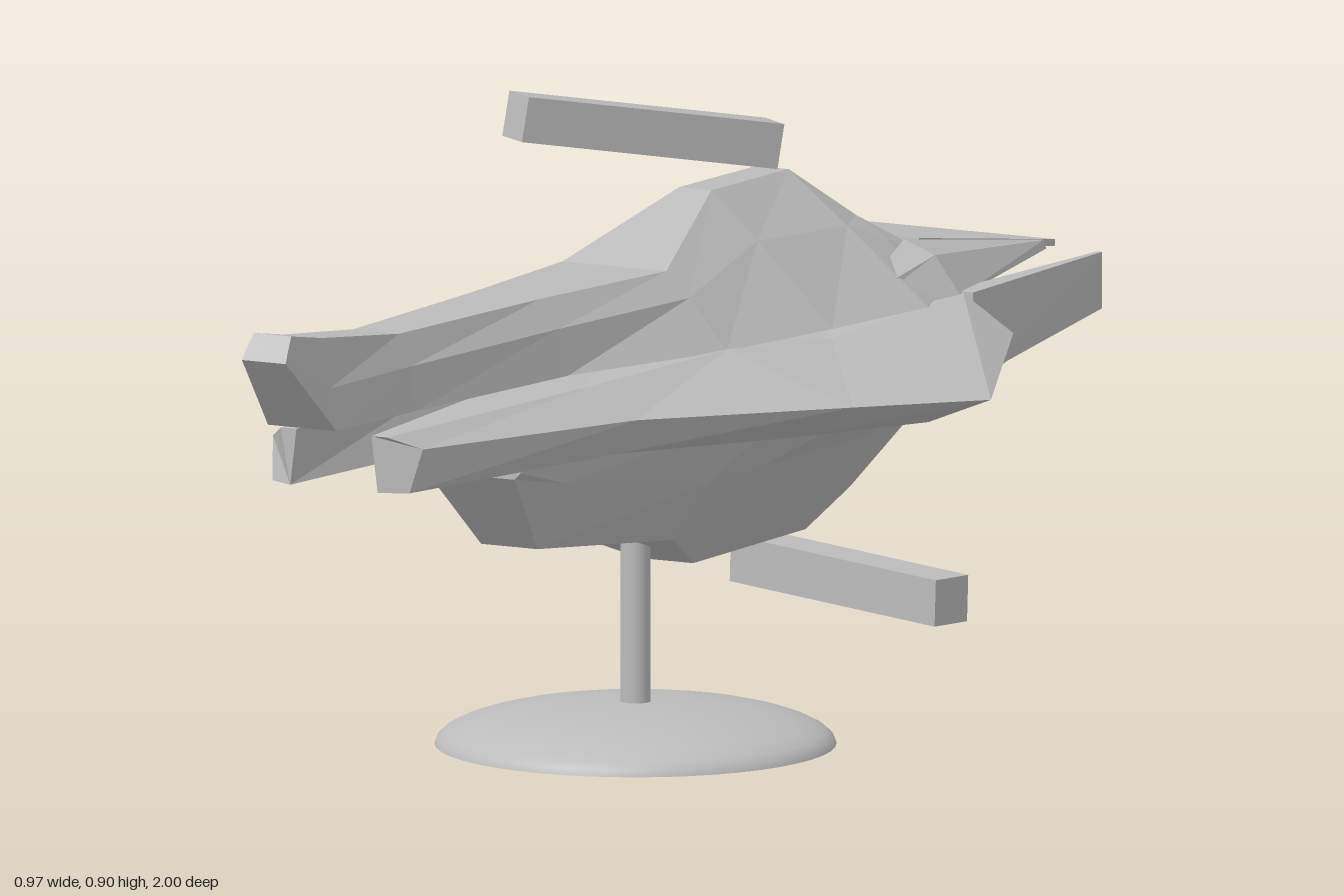
import * as THREE from 'three';

const grey = new THREE.MeshStandardMaterial({ color: 0xbcbcbc });
grey.name = 'plain grey';

// Faceted skin over matching rings, listed front to back, each clockwise seen from the front
function loft(rings, sx = 1, sy = 1, midY = 0) {
  const rows = rings.map(r => {
    const m = r.map(([x, y, z]) => new THREE.Vector3(x * sx, midY + (y - midY) * sy, z));
    return sx * sy < 0 ? m.reverse() : m;
  });
  const pts = [];
  const tri = (...p) => p.forEach(v => pts.push(v.x, v.y, v.z));
  const n = rows[0].length, last = rows[rows.length - 1];
  for (let i = 0; i < rows.length - 1; i++) {
    for (let j = 0; j < n; j++) {
      const k = (j + 1) % n;
      tri(rows[i][j], rows[i][k], rows[i + 1][j]);
      tri(rows[i][k], rows[i + 1][k], rows[i + 1][j]);
    }
  }
  for (let j = 1; j < n - 1; j++) {
    tri(rows[0][0], rows[0][j + 1], rows[0][j]);
    tri(last[0], last[j], last[j + 1]);
  }
  const g = new THREE.BufferGeometry();
  g.setAttribute('position', new THREE.Float32BufferAttribute(pts, 3));
  g.computeVertexNormals();
  return g;
}

// Full ring from its right half, listed top to bottom
function ring(z, ...half) {
  const right = half.map(([x, y, dz = 0]) => [x, y, z + dz]);
  return [...right, ...right.slice().reverse().map(([x, y, zz]) => [-x, y, zz])];
}

const at = (z, ...pts) => pts.map(([x, y, dz = 0]) => [x, y, z + dz]);

export function createModel() {
  const model = new THREE.Group();
  model.name = 'starship on stand';
  const add = (name, geometry) => {
    const mesh = new THREE.Mesh(geometry, grey);
    mesh.name = name;
    model.add(mesh);
    return mesh;
  };
  // Box running from point a to point b
  const beam = (name, a, b, w, h) => {
    const p = new THREE.Vector3(...a), q = new THREE.Vector3(...b);
    const mesh = add(name, new THREE.BoxGeometry(w, h, p.distanceTo(q)));
    mesh.position.copy(p).add(q).multiplyScalar(0.5);
    mesh.lookAt(q);
  };

  // Upper hull with the long nose
  add('upperHull', loft([
    ring(1, [0.03, 0.735, -0.025], [0.033, 0.715, -0.01], [0.035, 0.70]),
    ring(0.89, [0.03, 0.72], [0.045, 0.65], [0.055, 0.59]),
    ring(0.68, [0.037, 0.695], [0.055, 0.65], [0.065, 0.588]),
    ring(0.31, [0.055, 0.69], [0.085, 0.65], [0.10, 0.585]),
    ring(0, [0.083, 0.685], [0.12, 0.65], [0.18, 0.58]),
    ring(-0.23, [0.026, 0.76], [0.10, 0.695], [0.22, 0.58]),
    ring(-0.45, [0.026, 0.757], [0.12, 0.685], [0.25, 0.58]),
    ring(-0.53, [0.09, 0.685], [0.14, 0.655], [0.23, 0.58]),
    ring(-0.61, [0.12, 0.64], [0.15, 0.62], [0.17, 0.58]),
  ]));

  // Lower hull, a keel under the wings
  add('lowerHull', loft([
    ring(0.41, [0.08, 0.475], [0.08, 0.46], [0.07, 0.45]),
    ring(0.3, [0.10, 0.475], [0.09, 0.43], [0.045, 0.333]),
    ring(0, [0.18, 0.475], [0.148, 0.39], [0.095, 0.305]),
    ring(-0.15, [0.20, 0.475], [0.15, 0.39], [0.042, 0.245]),
    ring(-0.47, [0.23, 0.475], [0.15, 0.39], [0.042, 0.245]),
    ring(-0.53, [0.20, 0.475], [0.15, 0.40], [0.08, 0.30]),
    ring(-0.61, [0.18, 0.475], [0.16, 0.44], [0.13, 0.39]),
  ]));

  // Wings with forward prongs
  const wing = [
    at(0.8, [0.06, 0.57], [0.085, 0.57], [0.12, 0.55, -0.04], [0.11, 0.49, -0.02], [0.07, 0.49]),
    at(0.33, [0.05, 0.585], [0.14, 0.575], [0.22, 0.535], [0.19, 0.485], [0.02, 0.49]),
    at(0, [0, 0.59], [0.18, 0.582], [0.382, 0.517], [0.29, 0.467], [0, 0.465]),
    at(-0.21, [0, 0.59], [0.23, 0.57], [0.485, 0.505], [0.385, 0.465], [0, 0.465]),
    at(-0.55, [0, 0.59], [0.25, 0.585], [0.33, 0.535], [0.28, 0.48], [0, 0.465]),
    at(-0.61, [0, 0.59], [0.18, 0.585], [0.20, 0.535], [0.18, 0.48], [0, 0.465]),
  ];
  // Wedge fins above and below the tail
  const fin = [
    at(-0.35, [0.19, 0.60], [0.195, 0.60], [0.20, 0.585], [0.19, 0.58]),
    at(-0.54, [0.16, 0.655], [0.21, 0.637], [0.252, 0.582], [0.16, 0.575]),
    at(-0.95, [0.148, 0.592], [0.154, 0.592], [0.158, 0.58], [0.148, 0.58]),
  ];
  for (const [side, s] of [['left', 1], ['right', -1]]) {
    add(side + 'Wing', loft(wing, s));
    add(side + 'UpperFin', loft(fin, s));
    add(side + 'LowerFin', loft(fin, s, -1, 0.525));
  }

  // Side vanes beside the engine bay; the right one leans inward
  for (const [side, s, rear] of [['left', 1, 0.235], ['right', -1, 0.16]]) {
    add(side + 'SideVane', loft([
      at(-0.55, [0.228, 0.587], [0.265, 0.587], [0.268, 0.465], [0.235, 0.465]),
      at(-0.965, [rear - 0.004, 0.58], [rear + 0.004, 0.58], [rear + 0.004, 0.50], [rear - 0.004, 0.50]),
    ], s));
  }

  // Tail plates
  beam('upperTailPlate', [0, 0.64, -0.61], [0, 0.58, -0.998], 0.29, 0.01);
  beam('lowerTailPlate', [0, 0.40, -0.60], [0, 0.47, -0.93], 0.29, 0.01);

  // Guns
  beam('upperGun', [-0.206, 0.867, -0.085], [0.015, 0.797, -0.42], 0.06, 0.064);
  beam('lowerGun', [-0.03, 0.208, -0.43], [0.36, 0.193, -0.32], 0.064, 0.066);

  // Display stand
  const pole = add('standPole', new THREE.CylinderGeometry(0.021, 0.021, 0.28, 32));
  pole.position.set(0, 0.18, -0.06);
  const dome = [];
  for (let i = 0; i <= 10; i++) {
    const a = (i / 10) * Math.PI / 2;
    dome.push(new THREE.Vector2(0.281 * Math.cos(a), 0.06 * Math.sin(a)));
  }
  add('standBase', new THREE.LatheGeometry(dome, 48)).position.z = -0.06;
  const foot = add('standUnderside', new THREE.CircleGeometry(0.281, 48));
  foot.rotation.x = Math.PI / 2;
  foot.position.z = -0.06;

  return model;
}
